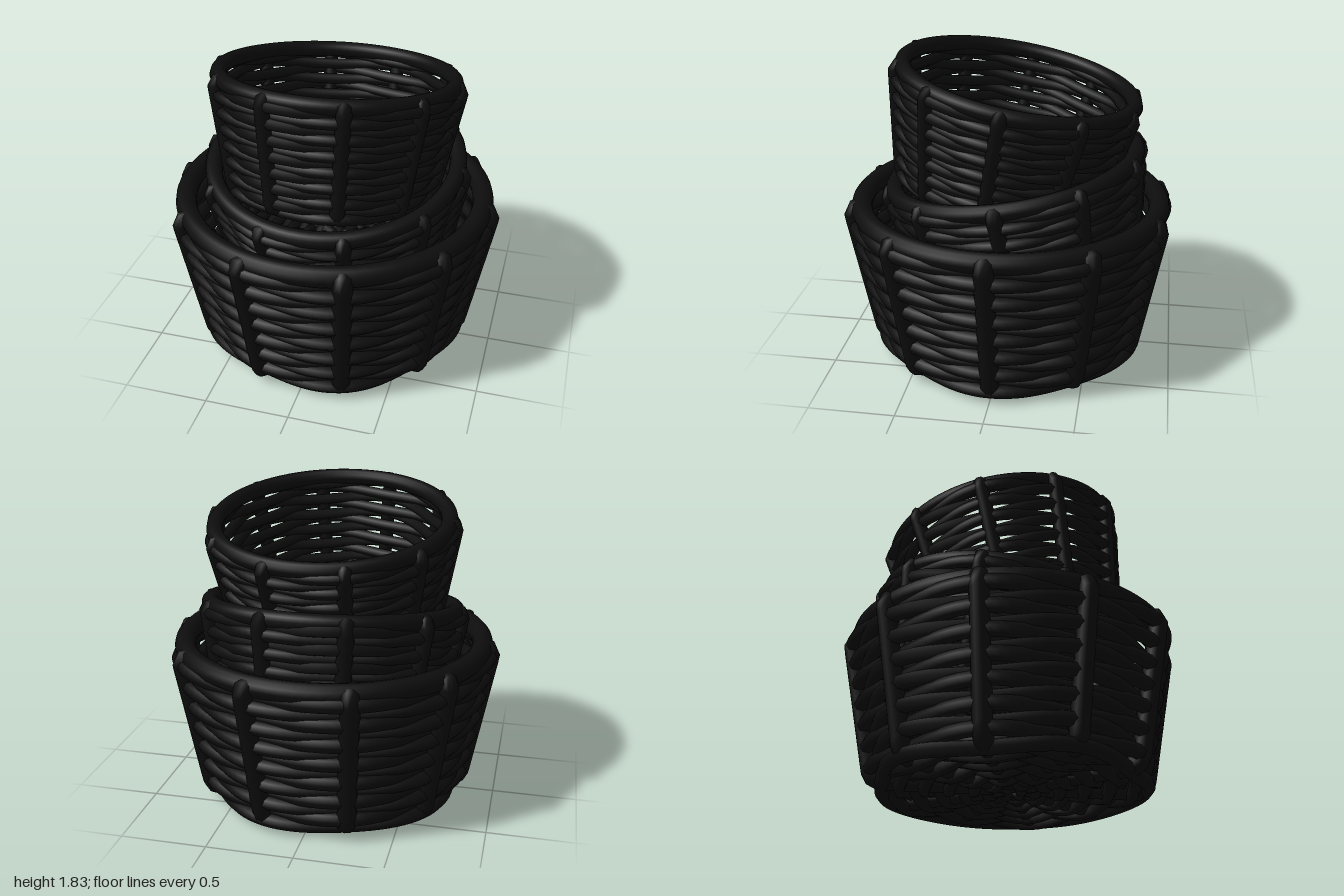
import * as THREE from 'three';

const STAKES = 10;
const material = new THREE.MeshStandardMaterial({ color: 0x0d0d0d });

// Closed strand given by a rule from angle to point
class Strand extends THREE.Curve {
  constructor(rule) {
    super();
    this.rule = rule;
  }
  getPoint(t, target = new THREE.Vector3()) {
    const a = t * Math.PI * 2;
    const [r, y] = this.rule(a);
    return target.set(r * Math.cos(a), y, r * Math.sin(a));
  }
}

function mesh(name, geometry) {
  const m = new THREE.Mesh(geometry, material);
  m.name = name;
  return m;
}

// One basket of unit size: about 1 high, 1 in radius at the top
function basket(name) {
  const group = new THREE.Group();
  group.name = name;

  // Upright stakes, running from the middle of the floor up to the rim
  const path = new THREE.CurvePath();
  const v = (r, y) => new THREE.Vector3(r, y, 0);
  path.add(new THREE.LineCurve3(v(0.04, 0.087), v(0.73, 0.087)));
  path.add(new THREE.QuadraticBezierCurve3(v(0.73, 0.087), v(0.785, 0.087), v(0.797, 0.15)));
  path.add(new THREE.LineCurve3(v(0.797, 0.15), v(0.938, 0.89)));
  path.add(new THREE.QuadraticBezierCurve3(v(0.938, 0.89), v(0.948, 0.945), v(0.89, 0.94)));
  const stakeGeometry = new THREE.TubeGeometry(path, 44, 0.056, 10);
  for (let k = 0; k < STAKES; k++) {
    const stake = mesh('stake', stakeGeometry);
    stake.rotation.y = (k * Math.PI * 2) / STAKES;
    group.add(stake);
  }

  // Woven wall: neighbouring rows pass the stakes on opposite sides
  const rows = 14;
  for (let i = 0; i < rows; i++) {
    const y = 0.075 + i * 0.0625;
    const sign = i % 2 ? -1 : 1;
    const radius = 0.755 + 0.19 * (y - 0.075);
    const strand = new Strand(a => {
      const wave = sign * Math.cos((a * STAKES) / 2);
      return [radius + 0.03 * wave, y + 0.008 * wave];
    });
    group.add(mesh('wallStrand', new THREE.TubeGeometry(strand, 100, 0.043, 7, true)));
  }

  // Woven floor: rings going over and under the spokes
  for (let i = 0; i < 10; i++) {
    const radius = 0.07 + i * 0.07;
    const sign = i % 2 ? -1 : 1;
    const strand = new Strand(a => [radius, 0.083 + sign * 0.032 * Math.cos((a * STAKES) / 2)]);
    group.add(mesh('floorStrand', new THREE.TubeGeometry(strand, 80, 0.04, 6, true)));
  }

  // Thick rim
  const rim = mesh('rim', new THREE.TorusGeometry(0.888, 0.062, 12, 80));
  rim.rotation.x = Math.PI / 2;
  rim.position.y = 0.938;
  group.add(rim);
  return group;
}

export function createModel() {
  const model = new THREE.Group();
  model.name = 'stackedBaskets';

  // [name, scale, tilt about x, height and depth of the rim centre]
  const stack = [
    ['outerBasket', 1, 0, 1, 0],
    ['middleBasket', 0.815, 0.17, 1.205, -0.015],
    ['topBasket', 0.757, -0.183, 1.72, -0.06],
  ];
  for (const [name, scale, tilt, y, z] of stack) {
    const b = basket(name);
    b.scale.setScalar(scale);
    b.rotation.x = tilt;
    b.position.set(0, y - scale * Math.cos(tilt), z - scale * Math.sin(tilt));
    model.add(b);
  }
  return model;
}
